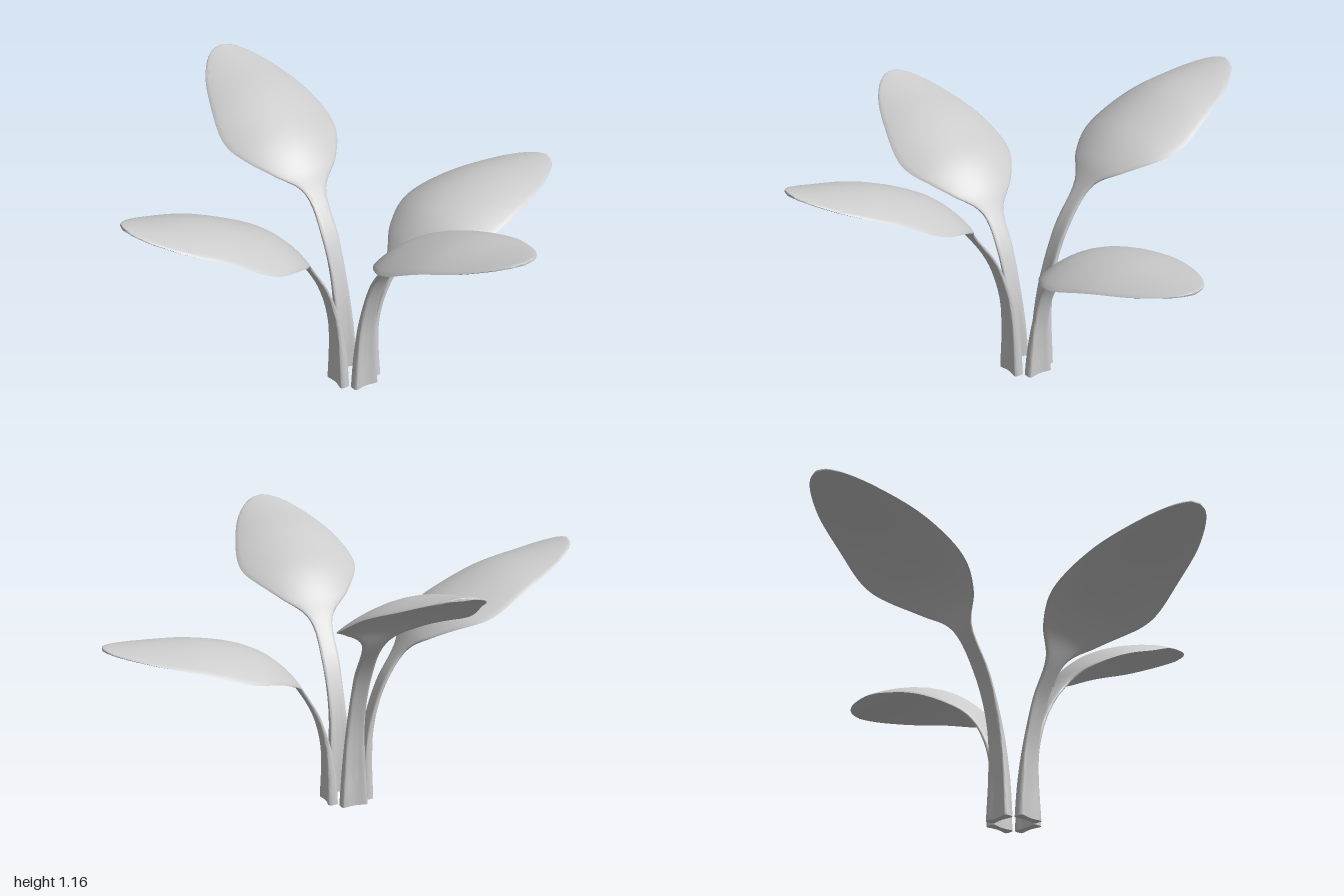
import * as THREE from 'three';
import { toCreasedNormals } from 'three/addons/utils/BufferGeometryUtils.js';

const SIDES = 32, STEPS = 6;

// Blade outline: fraction along the blade and half width there
const OUTLINE = [[0, 0.052], [0.08, 0.15], [0.2, 0.23], [0.34, 0.262], [0.55, 0.235],
  [0.8, 0.164], [0.94, 0.09], [0.985, 0.045], [1, 0]];
// Stalk: fraction of its height and half width there
const STALK = [[0, 0.059], [0.25, 0.047], [0.5, 0.037], [0.77, 0.038]];

// One leaf growing along +z: start and end radius of the blade, ridge heights at the outline stations
function leafGeometry({ r0, r1, heights }) {
  const spine = new THREE.CatmullRomCurve3([
    ...STALK.map(([g, w]) => new THREE.Vector3(0.08 + (r0 - 0.08) * g ** 3, heights[0] * g, w)),
    ...OUTLINE.map(([f, w], i) => new THREE.Vector3(r0 + (r1 - r0) * f, heights[i], w)),
  ]);
  const rows = (STALK.length + OUTLINE.length - 1) * STEPS;
  const pos = [], index = [];

  for (let i = -1; i <= rows; i++) {
    const u = Math.max(i, 0) / rows;
    const c = spine.getPoint(u);
    const t = spine.getTangent(u);
    const tangent = new THREE.Vector2(t.x, t.y).normalize();
    // Row -1 closes the foot of the stalk
    const w = i < 0 ? 0 : Math.max(c.z, 0);
    const stalk = 1 - THREE.MathUtils.smoothstep(u, 0.05, 0.45);
    const foot = 1 - THREE.MathUtils.smoothstep(u, 0, 0.25);
    const thick = Math.min(w, 0.006 + 0.009 * stalk + 0.02 * foot);
    // The blade arches down from its ridge to both edges
    const droop = 0.072 * (w / 0.25) ** 2 * (1 - stalk);
    for (let j = 0; j < SIDES; j++) {
      const a = (j / SIDES) * Math.PI * 2;
      const cos = Math.cos(a), sin = Math.sin(a);
      // Thick rims with a thinner web between them near the foot
      const n = thick * Math.sign(sin) * Math.sqrt(Math.abs(sin)) * (1 - 0.6 * stalk * sin * sin)
        - droop * cos * cos;
      pos.push(w * cos, Math.max(0, c.y + tangent.x * n), c.x - tangent.y * n);
    }
  }
  for (let i = 0; i <= rows; i++) {
    for (let j = 0; j < SIDES; j++) {
      const k = (j + 1) % SIDES;
      const a = i * SIDES + j, b = i * SIDES + k;
      index.push(a, b, a + SIDES, b, b + SIDES, a + SIDES);
    }
  }
  const geometry = new THREE.BufferGeometry();
  geometry.setAttribute('position', new THREE.Float32BufferAttribute(pos, 3));
  geometry.setIndex(index);
  return toCreasedNormals(geometry, 0.9);
}

export function createModel() {
  const group = new THREE.Group();
  group.name = 'leafCluster';
  const material = new THREE.MeshStandardMaterial({ color: 0xcccccc, side: THREE.DoubleSide });

  // Four leaves a quarter turn apart, each with its own height and bend
  const leaves = [
    { name: 'frontLeaf', r0: 0.29, r1: 1.068,
      heights: [0.71, 0.805, 0.893, 0.953, 1.015, 1.054, 1.077, 1.085, 1.088] },
    { name: 'leftLeaf', r0: 0.2, r1: 1.01,
      heights: [0.505, 0.598, 0.68, 0.728, 0.763, 0.774, 0.777, 0.778, 0.778] },
    { name: 'backLeaf', r0: 0.29, r1: 1.068,
      heights: [0.77, 0.86, 0.943, 1.005, 1.075, 1.12, 1.145, 1.154, 1.157] },
    { name: 'rightLeaf', r0: 0.235, r1: 1.01,
      heights: [0.635, 0.73, 0.818, 0.878, 0.947, 0.994, 1.022, 1.033, 1.037] },
  ];
  leaves.forEach((leaf, i) => {
    const mesh = new THREE.Mesh(leafGeometry(leaf), material);
    mesh.name = leaf.name;
    mesh.rotation.y = THREE.MathUtils.degToRad(21 + 90 * i);
    group.add(mesh);
  });
  return group;
}
